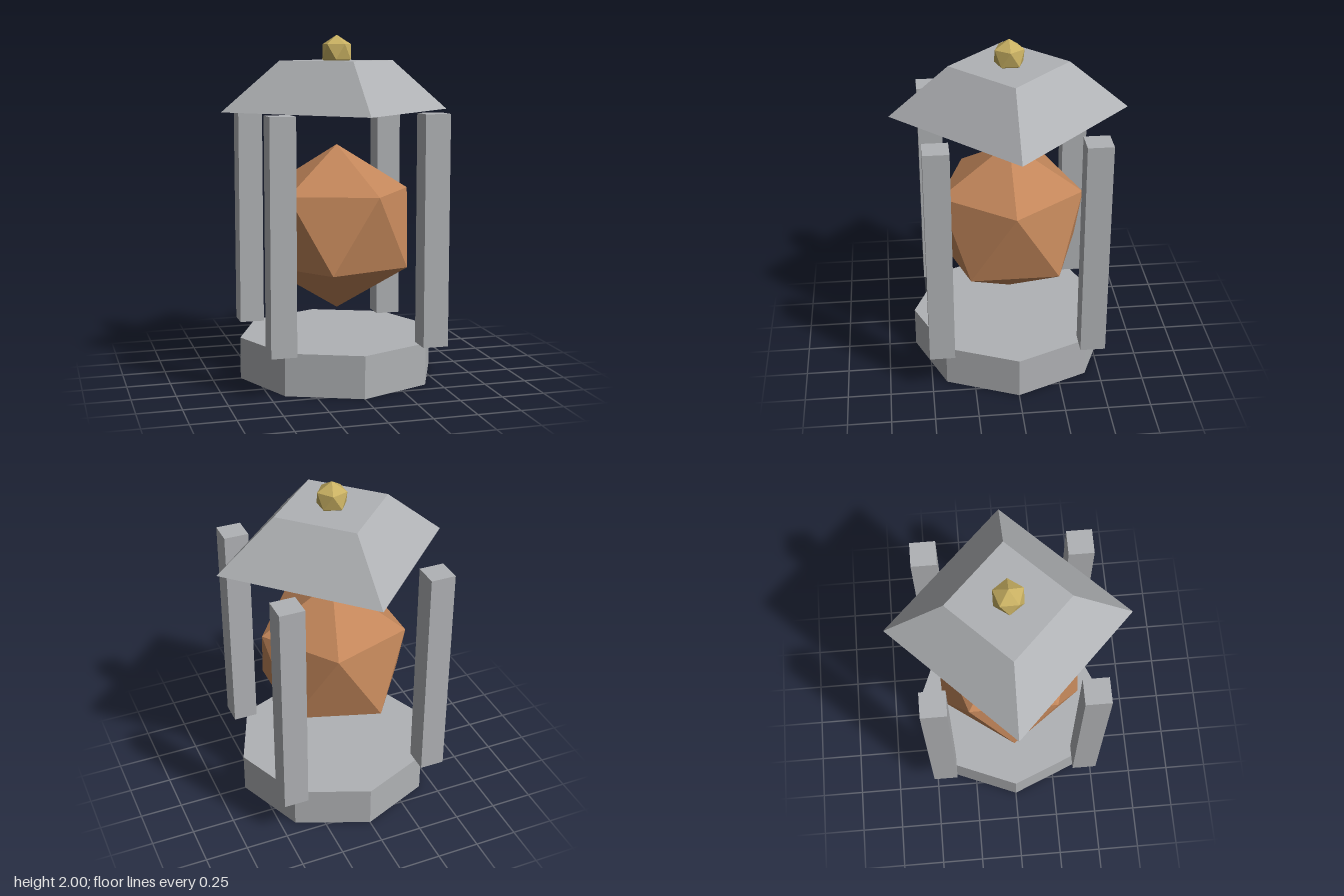
import * as THREE from 'three';

const material = (name, color) => {
  const m = new THREE.MeshStandardMaterial({ color });
  m.name = name;
  return m;
};

export function createModel() {
  const group = new THREE.Group();
  const stone = material('grey stone', 0xb0b2b5);
  const copper = material('copper', 0xc2865a);
  const gold = material('gold', 0xc8b062);

  const add = (name, geometry, mat, x, y, z) => {
    const mesh = new THREE.Mesh(geometry, mat);
    mesh.name = name;
    mesh.position.set(x, y, z);
    group.add(mesh);
  };

  // Faceted prism or frustum with hard edges
  const prism = (top, bottom, height, sides) => {
    const g = new THREE.CylinderGeometry(top, bottom, height, sides).toNonIndexed();
    g.computeVertexNormals();
    return g;
  };

  // Icosahedron standing on one corner
  const crystal = (radius) =>
    new THREE.IcosahedronGeometry(radius).rotateZ(-Math.atan(2 / (1 + Math.sqrt(5))));

  // Octagonal base
  add('base', prism(0.586, 0.586, 0.245, 8), stone, 0, 0.1225, 0);

  // Four square posts
  const post = new THREE.BoxGeometry(0.146, 1.32, 0.146);
  for (const x of [-0.44, 0.44]) {
    for (const z of [-0.44, 0.44]) add('post', post, stone, x, 0.905, z);
  }

  // Roof turned with its corners on the axes
  add('roof', prism(0.341, 0.682, 0.29, 4), stone, 0, 1.708, 0);

  // Crystal core and finial
  add('core', crystal(0.487), copper, 0, 0.88, 0);
  add('finial', crystal(0.097), gold, 0, 1.903, 0);

  return group;
}
